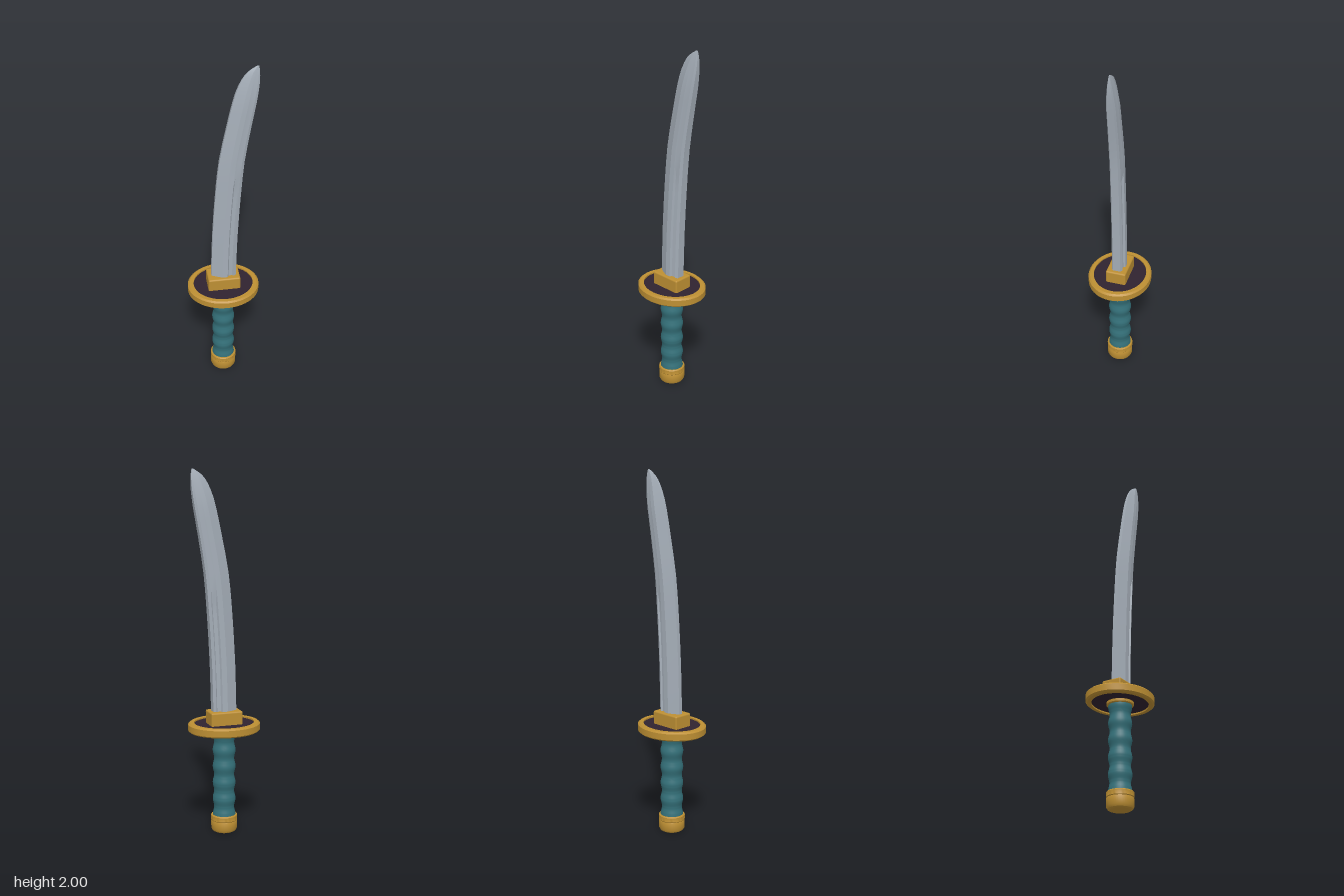
import * as THREE from 'three';
import { RoundedBoxGeometry } from 'three/addons/geometries/RoundedBoxGeometry.js';
import { toCreasedNormals } from 'three/addons/utils/BufferGeometryUtils.js';

const material = (name, color, extra = {}) => {
  const m = new THREE.MeshStandardMaterial({ color, ...extra });
  m.name = name;
  return m;
};

// Piecewise linear lookup in [key, value] pairs
function lookup(pairs, y) {
  for (let i = 1; i < pairs.length; i++) {
    if (y <= pairs[i][0]) {
      const [a, b] = [pairs[i - 1], pairs[i]];
      return THREE.MathUtils.lerp(a[1], b[1], (y - a[0]) / (b[0] - a[0]));
    }
  }
  return pairs[pairs.length - 1][1];
}

// Smooth edge curve through [x, y] points, sampled as x at height y
function edgeCurve(points) {
  const curve = new THREE.SplineCurve(points.map(p => new THREE.Vector2(...p)));
  return curve.getPoints(120).map(p => [p.y, p.x]);
}

// Curved blade lofted from cross-sections; a fuller runs along both faces
function bladeGeometry() {
  const cutting = edgeCurve([[-0.068, 0.66], [-0.058, 1], [-0.028, 1.4], [0.012, 1.63], [0.053, 1.82], [0.085, 1.91], [0.12, 1.965], [0.168, 2]]);
  const spine = edgeCurve([[0.068, 0.66], [0.078, 1], [0.105, 1.4], [0.133, 1.6], [0.168, 1.8], [0.182, 1.9], [0.184, 1.96], [0.18, 2]]);
  const thickness = [[0.66, 1], [1.5, 0.92], [1.8, 0.8], [1.88, 0.62], [1.95, 0.36], [1.985, 0.17], [2, 0.06]];
  const heights = [0.66, 0.8, 0.95, 1.1, 1.2, 1.3, 1.36, 1.45, 1.55, 1.65, 1.73, 1.8, 1.85, 1.89, 1.925, 1.95, 1.97, 1.985, 2];
  // position across the blade, half thickness, depth of the fuller
  const section = [[0, 0.011, 0], [0.43, 0.039, 0], [0.64, 0.038, 0], [0.69, 0.036, 0.009], [0.84, 0.032, 0.009], [0.89, 0.031, 0], [1, 0.022, 0]];
  const pos = [], index = [], n = section.length * 2;
  for (const y of heights) {
    const x0 = lookup(cutting, y), x1 = lookup(spine, y), t = lookup(thickness, y);
    const ring = section.map(([u, z, d]) => [THREE.MathUtils.lerp(x0, x1, u), y, (z - (y < 1.33 ? d : 0)) * t]);
    const back = ring.map(([x, h, z]) => [x, h, -z]).reverse();
    pos.push(...ring.flat(), ...back.flat());
  }
  for (let r = 0; r < heights.length - 1; r++) {
    for (let i = 0; i < n; i++) {
      const a = r * n + i, b = r * n + (i + 1) % n;
      index.push(a, b, b + n, a, b + n, a + n);
    }
  }
  const top = (heights.length - 1) * n;
  for (let i = 1; i < n - 1; i++) index.push(0, i + 1, i, top, top + i, top + i + 1);
  const g = new THREE.BufferGeometry();
  g.setAttribute('position', new THREE.Float32BufferAttribute(pos, 3));
  g.setIndex(index);
  return toCreasedNormals(g, 0.18);
}

// Lathe from [radius, y] points, with hard edges kept
const lathe = (points, segments = 40, crease = 0.5) =>
  toCreasedNormals(new THREE.LatheGeometry(points.map(p => new THREE.Vector2(...p)), segments), crease);

export function createModel() {
  const model = new THREE.Group();
  model.name = 'sword';
  const steel = material('steel', 0xa5aeb8);
  const gold = material('gold', 0xbd8f33);
  const dark = material('dark plum', 0x30232f);
  const teal = material('teal wrap', 0x347079);

  const add = (name, geometry, mat, y = 0) => {
    const mesh = new THREE.Mesh(geometry, mat);
    mesh.name = name;
    mesh.position.y = y;
    model.add(mesh);
    return mesh;
  };

  add('blade', bladeGeometry(), steel);
  add('bladeCollar', new RoundedBoxGeometry(0.18, 0.09, 0.114, 2, 0.009), gold, 0.645);

  // Oval guard: bevelled rim around a recessed plate
  const rim = add('guardRim', lathe([
    [0.167, 0.582], [0.167, 0.575], [0.19, 0.575], [0.2, 0.583], [0.2, 0.617],
    [0.19, 0.625], [0.167, 0.625], [0.167, 0.582],
  ], 48), gold);
  const plate = add('guardPlate', new THREE.CylinderGeometry(0.169, 0.169, 0.034, 48), dark, 0.6);
  rim.scale.z = plate.scale.z = 0.875;

  // Ring where the grip meets the guard
  add('gripRing', lathe([[0, 0.566], [0.07, 0.566], [0.073, 0.57], [0.073, 0.585], [0, 0.585]]), gold);

  // Grip with a gently rippled wrap
  const grip = [];
  for (let i = 0; i <= 60; i++) {
    const y = 0.085 + 0.485 * i / 60;
    grip.push([0.0595 + 0.004 * Math.cos((y - 0.56) * Math.PI * 2 / 0.093), y]);
  }
  add('grip', lathe(grip, 32, 1), teal);

  // Pommel cap
  add('pommel', lathe([
    [0, 0], [0.056, 0], [0.066, 0.006], [0.072, 0.018], [0.072, 0.06], [0.07, 0.064],
    [0.073, 0.068], [0.073, 0.092], [0.069, 0.097], [0, 0.097],
  ]), gold);

  return model;
}
